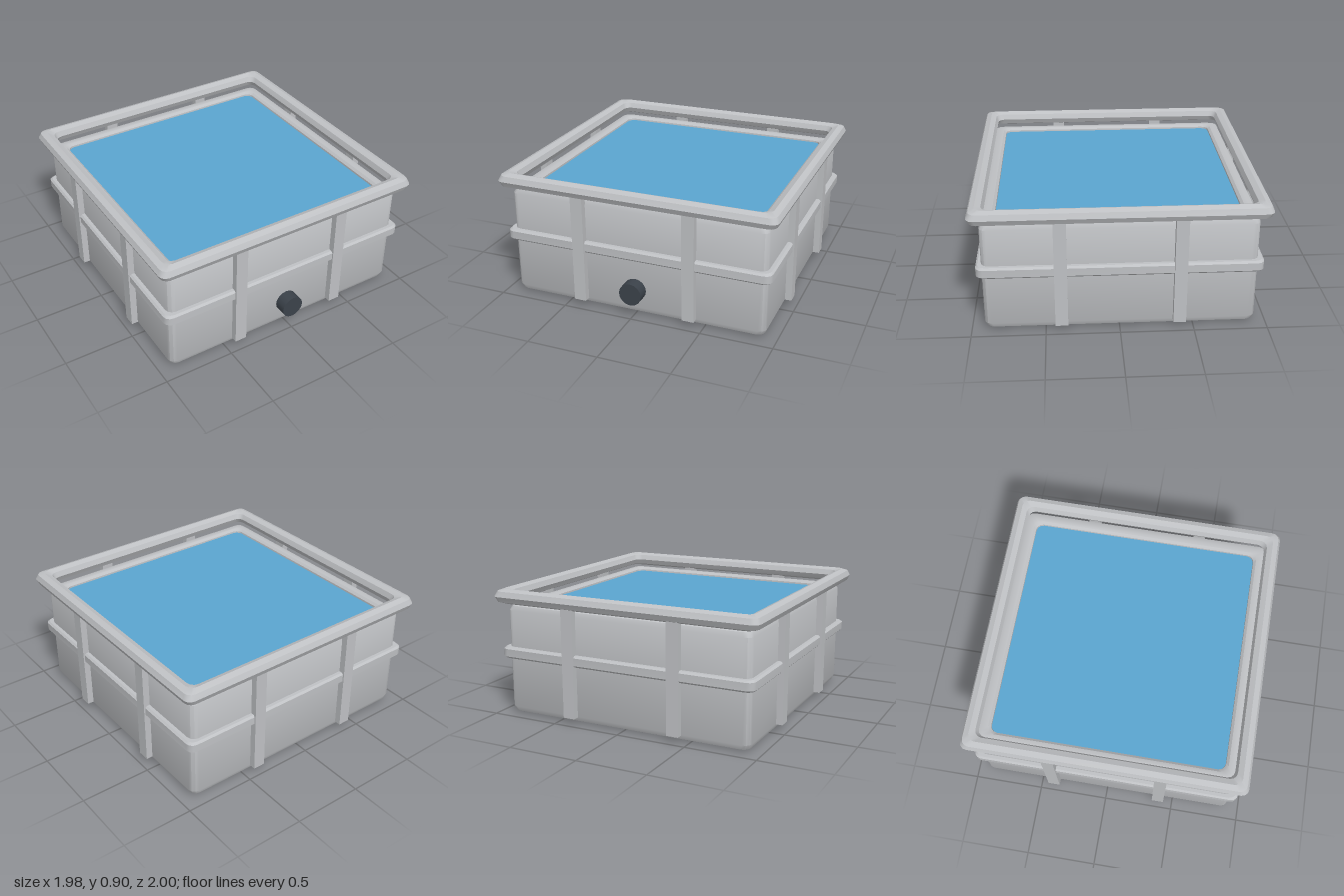
import * as THREE from 'three';
import { toCreasedNormals } from 'three/addons/utils/BufferGeometryUtils.js';

const CORNER = 0.05, STEPS = 3;

// Points of a rounded square of half-size h, running from +x towards +z
function roundedSquare(h) {
  const r = Math.min(CORNER, h), points = [];
  for (let q = 0; q < 4; q++) {
    const mid = (q + 0.5) * Math.PI / 2;
    const cx = Math.sign(Math.cos(mid)) * (h - r), cz = Math.sign(Math.sin(mid)) * (h - r);
    for (let s = 0; s <= STEPS; s++) {
      const a = (q + s / STEPS) * Math.PI / 2;
      points.push([cx + r * Math.cos(a), cz + r * Math.sin(a)]);
    }
  }
  return points;
}

// Sweeps a profile of [half-size, y] points around a rounded square
function squareLoft(profile) {
  const n = 4 * (STEPS + 1), positions = [], index = [];
  profile.forEach(([h, y]) => roundedSquare(h).forEach(([x, z]) => positions.push(x, y, z)));
  for (let i = 0; i < profile.length - 1; i++) {
    for (let j = 0; j < n; j++) {
      const k = (j + 1) % n;
      const a = i * n + j, b = a + n, c = i * n + k, d = c + n;
      index.push(a, b, c, b, d, c);
    }
  }
  const geometry = new THREE.BufferGeometry();
  geometry.setAttribute('position', new THREE.Float32BufferAttribute(positions, 3));
  geometry.setIndex(index);
  return toCreasedNormals(geometry, 0.6);
}

export function createModel() {
  const model = new THREE.Group();
  model.name = 'waterTank';
  const grey = new THREE.MeshStandardMaterial({ name: 'light grey plastic', color: 0xbfc1c4 });
  const blue = new THREE.MeshStandardMaterial({ name: 'water blue', color: 0x5aa5d0 });
  const dark = new THREE.MeshStandardMaterial({ name: 'dark valve', color: 0x3b424a });

  const add = (name, geometry, material, parent = model) => {
    const mesh = new THREE.Mesh(geometry, material);
    mesh.name = name;
    parent.add(mesh);
    return mesh;
  };

  // Everything but the valve sits slightly back of centre
  const tank = new THREE.Group();
  tank.name = 'tank';
  tank.position.z = -0.006;
  model.add(tank);

  // Tub with softened edges and a shallow inner lip
  add('body', squareLoft([
    [0, 0], [0.87, 0], [0.905, 0.015], [0.92, 0.05],
    [0.92, 0.75], [0.905, 0.782], [0.875, 0.795], [0.84, 0.795], [0.822, 0.78], [0.818, 0.74],
  ]), grey, tank);

  // Water surface
  add('water', squareLoft([[0.82, 0.768], [0, 0.768]]), blue, tank);

  // Octagonal tube around the top
  const rim = [];
  for (let i = 0; i <= 8; i++) {
    const a = i * Math.PI / 4;
    rim.push([0.938 + 0.054 * Math.cos(a), 0.852 + 0.053 * Math.sin(a)]);
  }
  add('topRim', squareLoft(rim), grey, tank);

  // Chamfered band around the middle
  add('middleBand', squareLoft([
    [0.89, 0.41], [0.943, 0.41], [0.956, 0.423], [0.956, 0.477], [0.943, 0.49], [0.89, 0.49],
  ]), grey, tank);

  // Two upright posts on each of the four sides
  const postGeometry = new THREE.BoxGeometry(0.086, 0.765, 0.05);
  for (let side = 0; side < 4; side++) {
    const posts = new THREE.Group();
    posts.name = 'sidePosts';
    posts.rotation.y = side * Math.PI / 2;
    tank.add(posts);
    for (const x of [-0.398, 0.398]) {
      add('post', postGeometry, grey, posts).position.set(x, 0.4275, 0.941);
    }
  }

  // Drain valve on the front
  const valve = add('drainValve', new THREE.CylinderGeometry(0.08, 0.08, 0.1, 16), dark);
  valve.rotation.x = Math.PI / 2;
  valve.position.set(0, 0.185, 0.95);

  return model;
}
